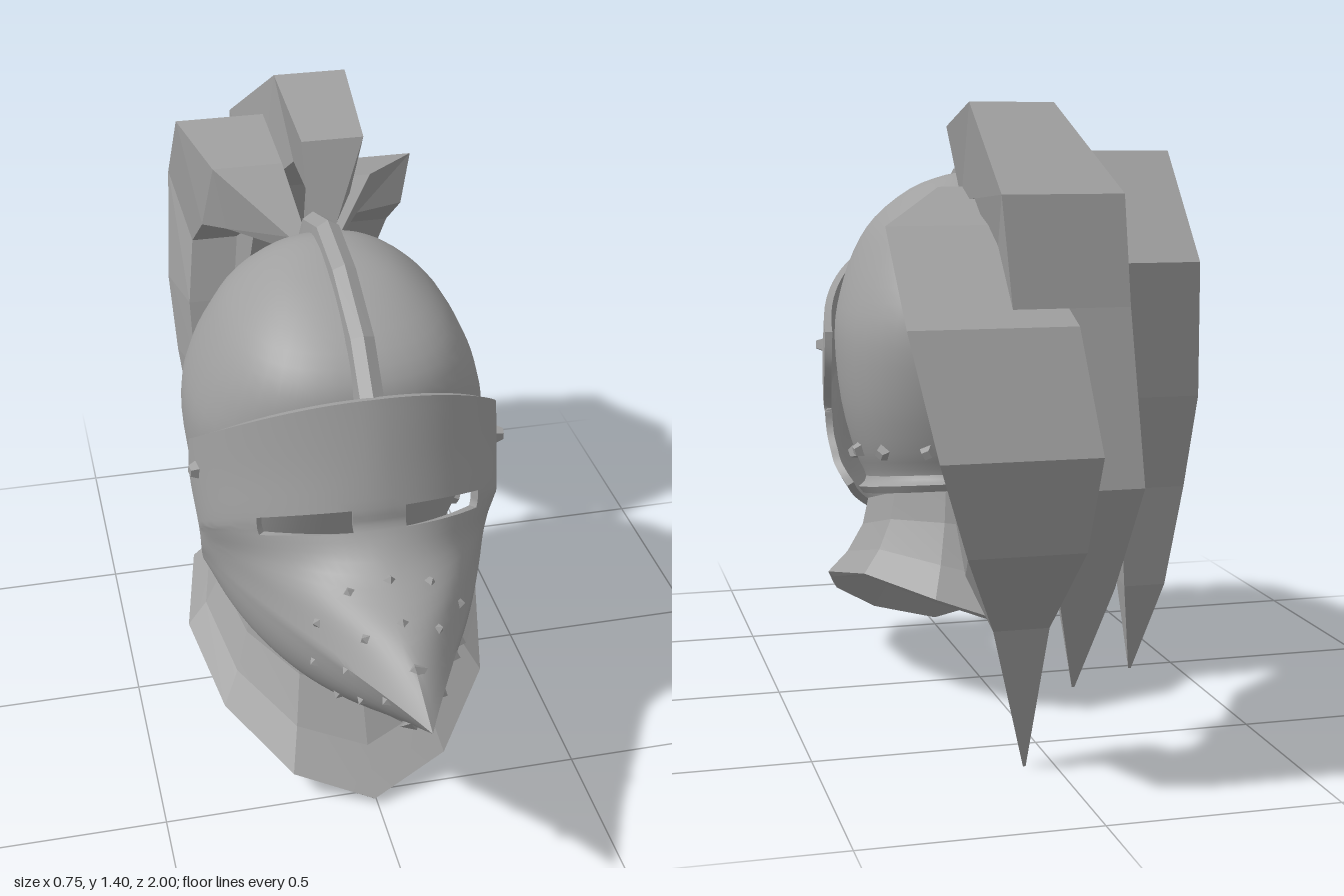
import * as THREE from 'three';
import { toCreasedNormals } from 'three/addons/utils/BufferGeometryUtils.js';

const steel = new THREE.MeshStandardMaterial({ color: 0xa0a0a0 });
steel.name = 'steel grey';

// Smooth interpolation through a list of equal-length number rows, t from 0 to 1
function spline(list, t) {
  const n = list.length - 1, s = Math.min(t * n, n - 1e-6), i = Math.floor(s), f = s - i;
  const at = k => list[Math.max(0, Math.min(n, k))];
  const [a, b, c, d] = [at(i - 1), at(i), at(i + 1), at(i + 2)];
  return b.map((q, k) => q + 0.5 * f * (c[k] - a[k]
    + f * (2 * a[k] - 5 * q + 4 * c[k] - d[k] + f * (3 * (q - c[k]) + d[k] - a[k]))));
}

// Surface from a grid of points; with thickness it becomes a closed shell with rims
function sheet(rows, cols, point, { wrap = false, thick = 0, hole = () => false, crease = 0.6 } = {}) {
  const width = wrap ? cols : cols + 1, pos = [], quads = [];
  for (let i = 0; i <= rows; i++) for (let j = 0; j < width; j++) pos.push(...point(i, j));
  const id = (i, j) => i * width + (j % width);
  for (let i = 0; i < rows; i++) for (let j = 0; j < cols; j++) {
    if (!hole(i, j)) quads.push([id(i, j), id(i + 1, j), id(i + 1, j + 1), id(i, j + 1)]);
  }
  const tris = q => q.flatMap(([a, b, c, d]) => [a, b, c, a, c, d]);
  const geo = new THREE.BufferGeometry();
  geo.setAttribute('position', new THREE.Float32BufferAttribute(pos, 3));
  geo.setIndex(tris(quads));
  if (thick) {
    geo.computeVertexNormals();
    const nor = geo.attributes.normal.array, n = pos.length / 3;
    const all = pos.concat(pos.map((p, k) => p - thick * nor[k]));
    const edges = new Set();
    const eachEdge = f => quads.forEach(q => q.forEach((p, k) => f(p, q[(k + 1) % 4])));
    eachEdge((p, q) => edges.add(p + '_' + q));
    const extra = quads.map(([a, b, c, d]) => [a + n, d + n, c + n, b + n]);
    eachEdge((p, q) => { if (!edges.has(q + '_' + p)) extra.push([q, p, p + n, q + n]); });
    geo.setAttribute('position', new THREE.Float32BufferAttribute(all, 3));
    geo.setIndex(tris(quads.concat(extra)));
  }
  geo.deleteAttribute('normal');
  return toCreasedNormals(geo, crease);
}

function add(parent, name, geo) {
  const mesh = new THREE.Mesh(geo, steel);
  mesh.name = name;
  parent.add(mesh);
  return mesh;
}

// Puts a small stud where a ray meets the target's outer face
function stud(parent, name, geo, target, from, to, spin = 0) {
  const dir = to.clone().sub(from).normalize();
  const hit = new THREE.Raycaster(from, dir).intersectObject(target)[0];
  if (!hit) return;
  const mesh = add(parent, name, geo);
  mesh.position.copy(hit.point);
  mesh.quaternion.setFromUnitVectors(new THREE.Vector3(0, 1, 0), hit.face.normal);
  mesh.rotateY(spin);
}

// Skull: rings of [height, front z, back z, half width], top to bottom
function skullGeometry() {
  const rings = [[1.245, .05, .04, .004], [1.235, .12, -.02, .075], [1.2, .24, -.09, .155], [1.13, .36, -.175, .235],
    [1.05, .42, -.235, .285], [.95, .42, -.285, .325], [.85, .39, -.295, .345], [.7, .33, -.275, .335],
    [.58, .28, -.245, .305], [.52, .25, -.225, .28], [.495, .26, -.245, .3]];
  const power = v => Math.sign(v) * Math.abs(v) ** 0.82;
  return sheet(30, 40, (i, j) => {
    const [y, f, b, w] = spline(rings, i / 30), a = j / 40 * Math.PI * 2;
    const z = (f + b) / 2 + (f - b) / 2 * power(Math.cos(a));
    const tilt = 0.18 * THREE.MathUtils.clamp((0.85 - y) / 0.35, 0, 1);
    return [w * power(Math.sin(a)), y - tilt * z, z];
  }, { wrap: true, thick: 0.02 });
}

// Visor: rows from brow to chin, each a curve from the centre line to the side edge:
// [centre y, centre z, 1st control x, z, 2nd control x, z, edge x, y, z]
function visorGeometry() {
  const rows = [
    [1.085, .485, .19, .48, .345, .38, .355, .85, .18],
    [.95, .52, .19, .51, .355, .38, .358, .76, .18],
    [.85, .545, .2, .54, .35, .38, .35, .66, .24],
    [.80, .555, .2, .555, .34, .38, .348, .64, .24],
    [.735, .63, .17, .61, .3, .4, .346, .61, .24],
    [.685, .80, .09, .79, .27, .45, .344, .58, .23],
    [.61, 1.0, .10, .78, .26, .5, .34, .55, .21],
    [.5, .84, .11, .75, .27, .47, .335, .52, .19],
    [.385, .65, .12, .62, .28, .42, .325, .495, .16],
    [.305, .455, .13, .44, .26, .33, .31, .47, .14]];
  const K = 4, half = 20, tip = 6;
  return sheet(9 * K, half * 2, (i, j) => {
    const v = i / K;
    const [cy, cz, ax, az, bx, bz, ex, ey, ez] = v <= tip
      ? spline(rows.slice(0, tip + 1), v / tip) : spline(rows.slice(tip), (v - tip) / (9 - tip));
    const s = (j - half) / half, t = Math.abs(s), u = 1 - t;
    const bez = (p, q, r, e) => u * u * u * p + 3 * u * u * t * q + 3 * u * t * t * r + t * t * t * e;
    return [Math.sign(s) * bez(0, ax, bx, ex), bez(cy, cy, cy + (ey - cy) * .45, ey), bez(cz, az, bz, ez)];
  }, {
    thick: 0.018,
    // eye slits
    hole: (i, j) => {
      const k = Math.abs(j + .5 - half);
      return i >= 2 * K && i < 3 * K && k > 2 && k < 10;
    },
  });
}

// Flared collar: neck ring, waist ring and a wavy lower edge
function collarGeometry() {
  const edgeY = [.02, .08, .18, .265, .31, .28, .22];
  return sheet(3, 12, (i, j) => {
    const a = j / 12 * Math.PI * 2, s = Math.sin(a), c = Math.cos(a);
    const low = [.367 * s, edgeY[j <= 6 ? j : 12 - j], .105 + .445 * c];
    const neck = [.27 * s, .45 - .085 * c, .08 + .3 * c];
    const down = [0, .35, .72, 1][i], out = [0, .14, .52, 1][i];
    return [0, 1, 2].map(k => neck[k] + (low[k] - neck[k]) * (k === 1 ? down : out));
  }, { wrap: true, thick: 0.018, crease: 0.1 });
}

// Raised comb along the crown
function combGeometry() {
  const path = [[.475, 1.08], [.38, 1.18], [.2, 1.26], [.03, 1.287], [-.13, 1.235], [-.24, 1.09], [-.322, .92], [-.27, .8]];
  return sheet(path.length - 1, 4, (i, j) => {
    const [z, y] = path[i], d = Math.hypot(z - .03, y - .85);
    const k = 1 - [.12, .015, 0, .015, .12][j] / d;
    return [[.035, .026, 0, -.026, -.035][j], .85 + (y - .85) * k, .03 + (z - .03) * k];
  }, { crease: 0.2 });
}

// Plume lock: sections of [x, outer y, outer z, inner y, inner z, half width]
function lockGeometry(sections) {
  return sheet(sections.length - 1, 4, (i, j) => {
    const [x, oy, oz, iy, iz, w] = sections[i];
    const side = (j === 0 || j === 3 ? 1 : -1) * w;
    return j < 2 ? [x + side, oy, oz] : [x + side * .65, iy, iz];
  }, { wrap: true, crease: 0.05 });
}

const locks = {
  leftLock: [[.05, 1.13, -.2, 1.1, -.21, .02], [.1, 1.22, -.34, 1.11, -.36, .08], [.21, 1.15, -.6, 1.06, -.5, .14],
    [.2, .97, -.9, .93, -.68, .17], [.17, .73, -1, .72, -.78, .16], [.14, .53, -.93, .45, -.74, .12],
    [.1, .33, -.74, .37, -.66, .06], [.065, 0, -.64, 0, -.64, .003]],
  middleLock: [[.03, 1.15, -.2, 1.11, -.21, .03], [.07, 1.35, -.27, 1.19, -.3, .075], [.08, 1.4, -.58, 1.2, -.5, .09],
    [.04, 1.22, -.82, 1.08, -.62, .125], [.03, 1, -.85, .92, -.7, .12], [0, .65, -.92, .65, -.8, .1],
    [-.02, .42, -.8, .42, -.7, .06], [-.03, .18, -.68, .18, -.68, .003]],
  rightLock: [[-.03, 1.14, -.2, 1.1, -.21, .02], [-.12, 1.26, -.36, 1.1, -.36, .085], [-.15, 1.3, -.58, 1.07, -.46, .11],
    [-.17, 1.08, -.78, .96, -.6, .09], [-.19, .8, -.73, .8, -.56, .09], [-.2, .6, -.68, .62, -.525, .07],
    [-.2, .38, -.64, .38, -.535, .045], [-.2, .17, -.55, .17, -.55, .003]],
};

export function createModel() {
  const model = new THREE.Group();
  model.name = 'plumedHelmet';
  const helmet = new THREE.Group();
  helmet.name = 'helmet';
  const V = (x, y, z) => new THREE.Vector3(x, y, z);

  const skull = add(helmet, 'skull', skullGeometry());
  const visor = add(helmet, 'visor', visorGeometry());
  add(helmet, 'collar', collarGeometry());
  add(helmet, 'comb', combGeometry());

  // Pointed breath studs in rings around the snout
  const spike = new THREE.ConeGeometry(.025, .024, 4).toNonIndexed();
  spike.computeVertexNormals();
  for (const [z, count] of [[.64, 10], [.75, 8], [.86, 4]]) {
    for (let k = 0; k < count; k++) {
      const a = k / count * Math.PI * 2;
      stud(helmet, 'breathStud', spike, visor, V(Math.sin(a), .59 + Math.cos(a), z), V(0, .59, z));
    }
  }

  // Square rivets on the skull's lower edge and at the visor hinges
  const rivet = new THREE.CylinderGeometry(.013, .028, .035, 4).toNonIndexed();
  rivet.computeVertexNormals();
  for (const side of [1, -1]) {
    for (const [z, y] of [[.12, .56], [-.02, .59], [-.13, .6], [-.21, .61]]) {
      stud(helmet, 'rivet', rivet, skull, V(side, y, z), V(0, y, z), Math.PI / 4);
    }
    stud(helmet, 'hingeRivet', rivet, visor, V(side, .81, .25), V(0, .81, .25), Math.PI / 4);
  }
  helmet.position.x = -.008;
  model.add(helmet);

  const plume = new THREE.Group();
  plume.name = 'plume';
  for (const [name, sections] of Object.entries(locks)) add(plume, name, lockGeometry(sections));
  model.add(plume);
  return model;
}
